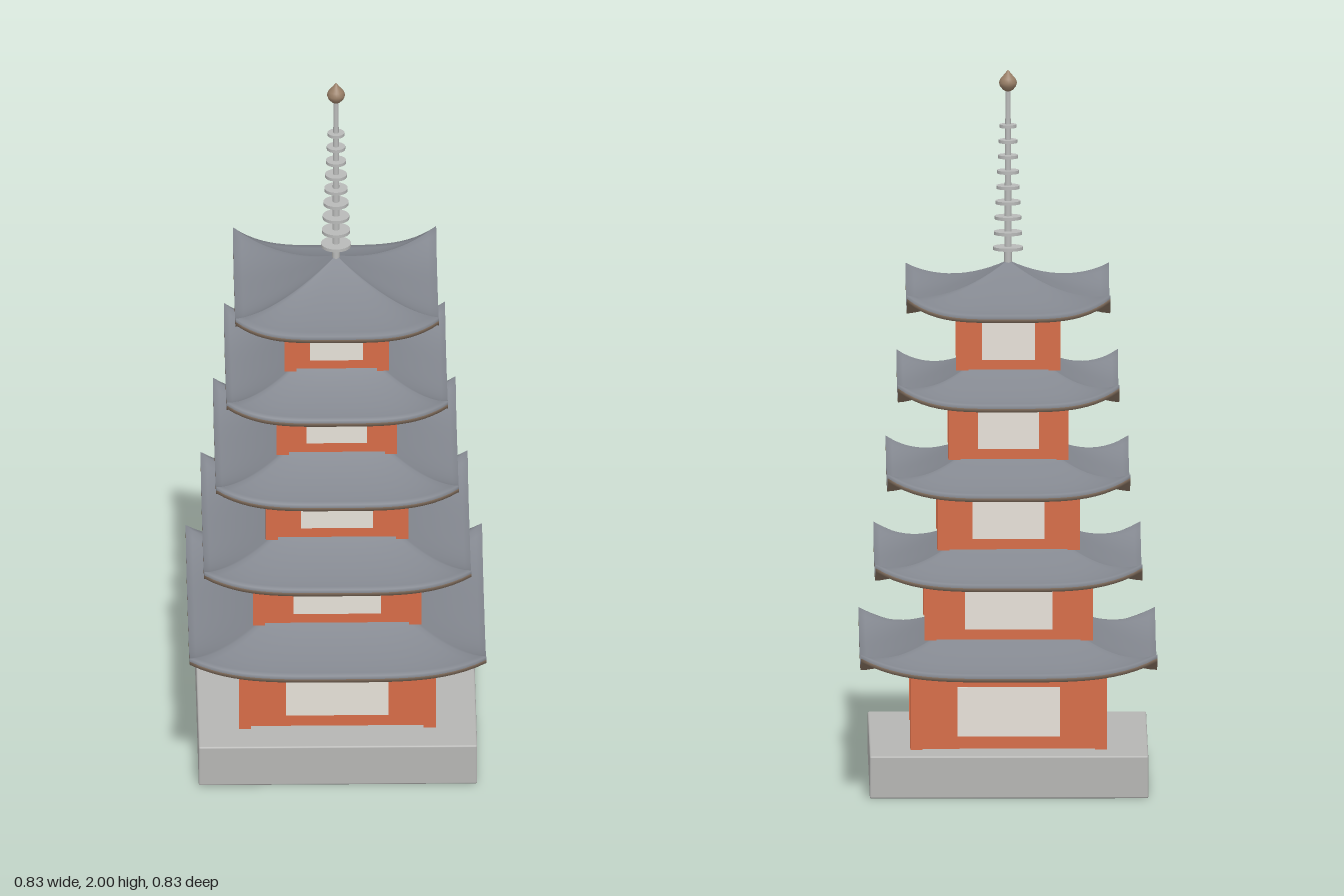
import * as THREE from 'three';
import { mergeGeometries, mergeVertices } from 'three/addons/utils/BufferGeometryUtils.js';
import { RoundedBoxGeometry } from 'three/addons/geometries/RoundedBoxGeometry.js';

const mat = (name, color) => {
  const m = new THREE.MeshStandardMaterial({ color });
  m.name = name;
  return m;
};

export function createModel() {
  const stone = mat('stone', 0xb5b5b3);
  const timber = mat('vermilionTimber', 0xd66c47);
  const plaster = mat('plaster', 0xe6e1d8);
  const tile = mat('roofTile', 0x83878f);
  const eaveWood = mat('eaveWood', 0x8c7765);
  const metal = mat('spireMetal', 0xb9bab9);
  const bronze = mat('bronze', 0x9a8068);

  const model = new THREE.Group();
  model.name = 'pagoda';

  const add = (parent, name, geometry, material, x = 0, y = 0, z = 0) => {
    const mesh = new THREE.Mesh(geometry, material);
    mesh.name = name;
    mesh.position.set(x, y, z);
    parent.add(mesh);
    return mesh;
  };
  const box = (parent, name, material, w, y0, y1, d, x = 0, z = 0) =>
    add(parent, name, new THREE.BoxGeometry(w, y1 - y0, d), material, x, (y0 + y1) / 2, z);

  // Bend a plane by a rule: u runs -1..1 along the eave, v runs 0..1 downwards
  const bentPlane = (rows, rule) => {
    const g = new THREE.PlaneGeometry(1, 1, 28, rows);
    const p = g.attributes.position;
    for (let i = 0; i < p.count; i++) {
      p.setXYZ(i, ...rule(p.getX(i) * 2, 0.5 - p.getY(i)));
    }
    g.deleteAttribute('uv');
    g.deleteAttribute('normal');
    return g;
  };

  // Repeat the strips of one side around the square and weld them into a soft shell
  const weldFourSides = (...strips) => {
    const side = mergeGeometries(strips);
    const sides = [0, 1, 2, 3].map((k) => side.clone().rotateY(k * Math.PI / 2));
    const g = mergeVertices(mergeGeometries(sides), 1e-5);
    g.computeVertexNormals();
    return g;
  };

  // Four-sided sweeping roof with upturned corners
  const addRoof = (parent, inner, outer, yTop, yEave) => {
    const lift = 0.058, thick = 0.02, lip = 0.01;
    const surface = (s, t, drop = 0) => {
      const r = inner + (outer - inner) * t;
      const y = yTop - (yTop - yEave) * (1 - Math.pow(1 - t, 1.6))
        + lift * Math.pow(Math.abs(s), 3.8) * t * t;
      return [s * r, y - drop, r];
    };
    const roof = new THREE.Group();
    roof.name = 'roof';
    parent.add(roof);
    const top = bentPlane(12, (u, v) => surface(u, v));
    const tileLip = bentPlane(1, (u, v) => surface(u, 1, v * lip));
    const woodLip = bentPlane(1, (u, v) => surface(u, 1, lip + v * (thick - lip)));
    const under = bentPlane(12, (u, v) => surface(-u, v, thick));
    add(roof, 'roofTiles', weldFourSides(top, tileLip), tile);
    add(roof, 'roofUnderside', weldFourSides(under, woodLip), eaveWood);
  };

  // Stone platform
  add(model, 'platform', new RoundedBoxGeometry(0.778, 0.12, 0.778, 2, 0.005), stone, 0, 0.06, 0);

  // Storeys: body half width, floor, panel half width, panel bottom and top, eave half width
  const storeys = [
    [0.275, 0.12, 0.143, 0.155, 0.295, 0.414],
    [0.235, 0.43, 0.122, 0.452, 0.56, 0.373],
    [0.199, 0.68, 0.1, 0.702, 0.81, 0.339],
    [0.168, 0.93, 0.085, 0.952, 1.06, 0.309],
    [0.146, 1.18, 0.074, 1.2, 1.308, 0.284],
  ];
  const post = 0.034;
  storeys.forEach(([half, floor, panel, p0, p1, eave], i) => {
    const storey = new THREE.Group();
    storey.name = 'storey' + (i + 1);
    model.add(storey);
    const yEave = 0.353 + 0.249 * i;
    const top = yEave + 0.012;
    const foot = i ? floor - 0.008 : floor;
    const wall = half - post / 2;
    box(storey, 'walls', timber, wall * 2, foot, top, wall * 2);

    for (let k = 0; k < 4; k++) {
      const face = new THREE.Group();
      face.name = 'wallFace';
      face.rotation.y = k * Math.PI / 2;
      storey.add(face);
      box(face, 'cornerPost', timber, post, foot, top, post, wall, wall);
      box(face, 'topBeam', timber, wall * 2 - post, yEave - 0.032, top, 0.024, 0, wall);
      box(face, 'plasterPanel', plaster, panel * 2, p0, p1, 0.008, 0, wall + 0.002);
    }

    // Roofs stop under the next storey; the last one rises to a point
    const last = i === storeys.length - 1;
    const inner = last ? 0.002 : storeys[i + 1][0] - 0.035;
    addRoof(storey, inner, eave, last ? 1.46 : storeys[i + 1][1], yEave);
  });

  // Spire with diminishing ring plates
  const spire = new THREE.Group();
  spire.name = 'spire';
  model.add(spire);
  add(spire, 'spirePole', new THREE.CylinderGeometry(0.007, 0.011, 0.52, 16), metal, 0, 1.69, 0);
  for (let i = 0; i < 9; i++) {
    const r = 0.042 - i * 0.0023;
    add(spire, 'spireRing', new THREE.CylinderGeometry(r, r, 0.009, 28), metal,
      0, 1.495 + i * 0.0432, 0);
  }

  // Pointed jewel finial
  const jewel = [[0, 1.936], [0.013, 1.942], [0.022, 1.952], [0.0255, 1.963],
    [0.021, 1.975], [0.01, 1.987], [0, 2]].map(([x, y]) => new THREE.Vector2(x, y));
  add(spire, 'finial', new THREE.LatheGeometry(jewel, 24), bronze);

  return model;
}
